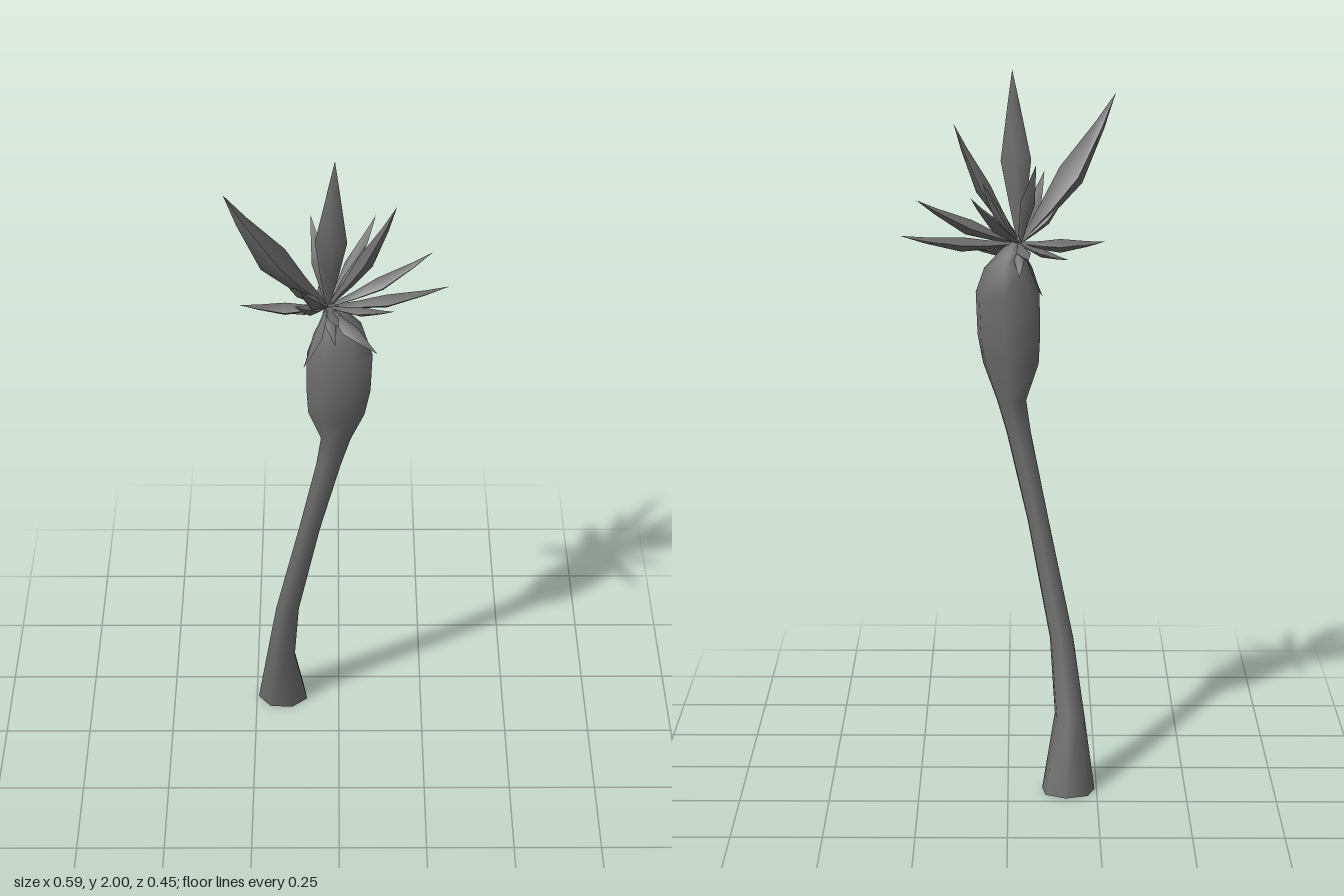
import * as THREE from 'three';
import { toCreasedNormals } from 'three/addons/utils/BufferGeometryUtils.js';

const material = new THREE.MeshStandardMaterial({ color: 0x6c6c6c, side: THREE.DoubleSide });

// Trunk rings, bottom to top: y, x min, x max, z min, z max
const rings = [
  [0, -0.245, -0.093, -0.23, -0.105],
  [0.21, -0.215, -0.13, -0.164, -0.076],
  [0.42, -0.184, -0.116, -0.108, -0.043],
  [0.75, -0.114, -0.053, -0.053, 0.003],
  [1.0, -0.063, 0.007, -0.022, 0.033],
  [1.09, -0.05, 0.034, -0.026, 0.044],
  [1.19, -0.085, 0.074, -0.036, 0.082],
  [1.27, -0.089, 0.09, -0.037, 0.089],
  [1.39, -0.087, 0.095, -0.032, 0.095],
  [1.46, -0.06, 0.07, -0.022, 0.069],
  [1.51, -0.042, 0.024, 0.004, 0.048],
  [1.55, -0.035, -0.022, 0.022, 0.036],
];

// Bent seven-sided trunk with a swollen crown: a cylinder whose rows follow the rings
function makeTrunk() {
  const n = rings.length - 1;
  const geo = new THREE.CylinderGeometry(1, 1, 1, 7, n, false, Math.PI - 0.09);
  const p = geo.attributes.position;
  for (let i = 0; i < p.count; i++) {
    const [y, x0, x1, z0, z1] = rings[Math.round((p.getY(i) + 0.5) * n)];
    p.setXYZ(i,
      (x0 + x1) / 2 + p.getX(i) * (x1 - x0) / 2, y,
      (z0 + z1) / 2 + p.getZ(i) * (z1 - z0) / 2);
  }
  const trunk = new THREE.Mesh(toCreasedNormals(geo, 1.1), material);
  trunk.name = 'trunk';
  return trunk;
}

// Leaf tips: x, y, z, half width
const heart = new THREE.Vector3(-0.03, 1.53, 0.03);
const tips = [
  [-0.295, 1.93, 0.135, 0.052],
  [-0.01, 2.0, 0.085, 0.042],
  [0.15, 1.855, 0.065, 0.028],
  [0.25, 1.66, -0.033, 0.027],
  [0.295, 1.56, -0.022, 0.025],
  [-0.265, 1.535, 0.03, 0.024],
  [0.1, 1.69, -0.175, 0.023],
  [0.145, 1.58, 0.135, 0.018],
  [0.1, 1.485, 0.19, 0.025],
  [0.0, 1.56, 0.18, 0.014],
  [-0.1, 1.7, 0.225, 0.024],
  [-0.115, 1.64, 0.205, 0.02],
  [-0.165, 1.49, -0.005, 0.015],
  [-0.055, 1.51, -0.11, 0.02],
  [-0.075, 1.76, -0.06, 0.02],
  [-0.165, 1.67, 0.08, 0.022],
  [-0.095, 1.37, 0.085, 0.018],
  [-0.01, 1.45, 0.1, 0.015],
  [0.07, 1.7, 0.0, 0.02],
  [-0.03, 1.45, -0.05, 0.014],
];

// Pointed four-sided leaf, slightly sagging, growing from the heart to its tip
function makeLeaf([x, y, z, w]) {
  const profile = [[0.005, 0], [w * 0.6, 0.25], [w, 0.48], [w * 0.4, 0.8], [0, 1]]
    .map(([r, t]) => new THREE.Vector2(r, t));
  const dir = new THREE.Vector3(x, y, z).sub(heart);
  const length = dir.length();
  dir.normalize();
  const geo = new THREE.LatheGeometry(profile, 4);
  const p = geo.attributes.position;
  for (let i = 0; i < p.count; i++) {
    const t = p.getY(i);
    p.setXYZ(i, p.getX(i), t * length, p.getZ(i) * 0.8 - 0.04 * length * Math.sin(Math.PI * t));
  }
  const leaf = new THREE.Mesh(toCreasedNormals(geo, 1.75), material);

  // Broad side lies level, across the direction of growth
  const thick = new THREE.Vector3(0, 1, 0).addScaledVector(dir, -dir.y).normalize();
  if (dir.y > 0.9) thick.set(0, 0, -1).addScaledVector(dir, dir.z).normalize();
  const side = new THREE.Vector3().crossVectors(dir, thick);
  leaf.quaternion.setFromRotationMatrix(new THREE.Matrix4().makeBasis(side, dir, thick));
  leaf.position.copy(heart);
  leaf.name = 'leaf';
  return leaf;
}

export function createModel() {
  const model = new THREE.Group();
  model.name = 'palmPlant';
  const leaves = new THREE.Group();
  leaves.name = 'leaves';
  for (const tip of tips) leaves.add(makeLeaf(tip));
  model.add(makeTrunk(), leaves);
  return model;
}
